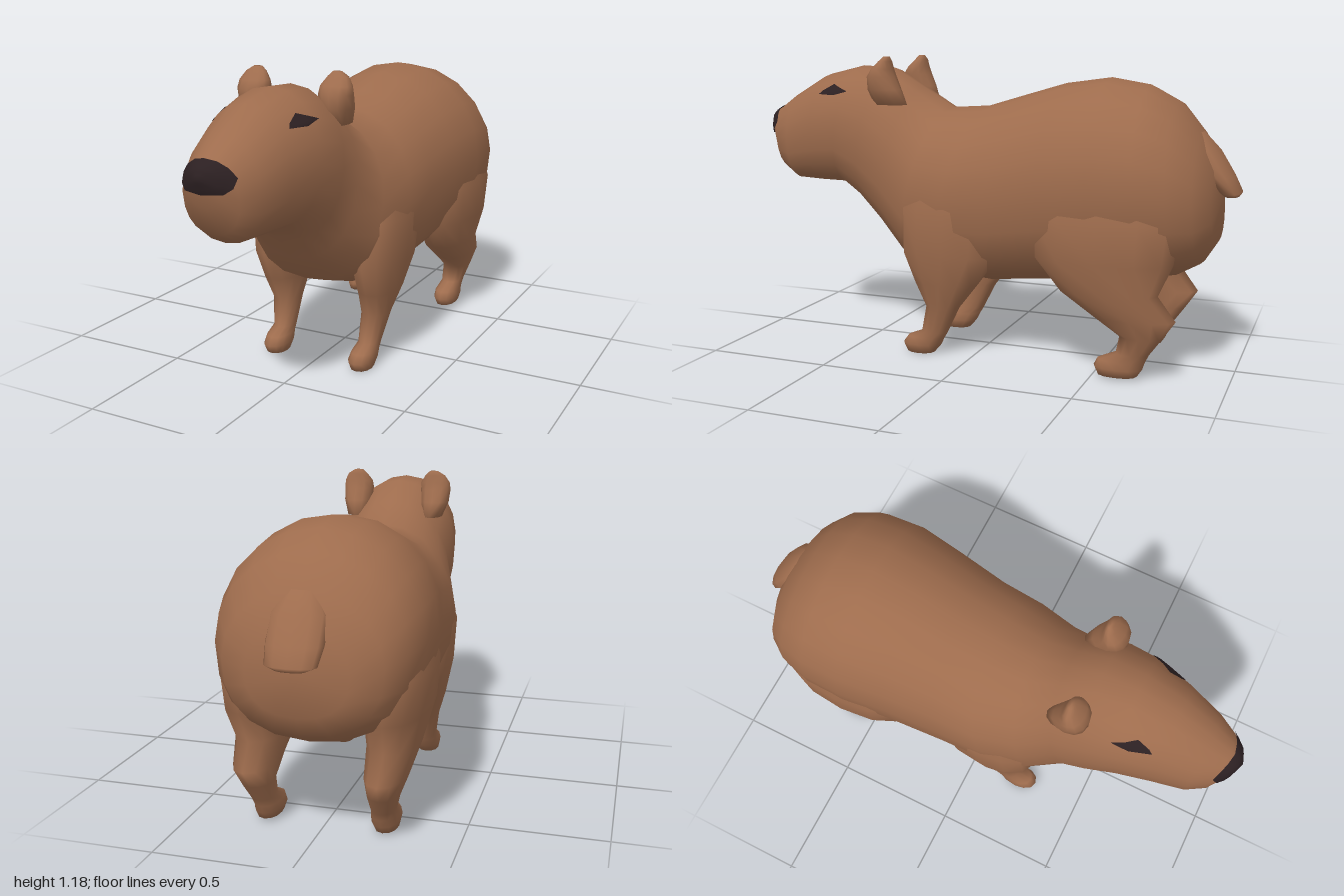
import * as THREE from 'three';

const fur = new THREE.MeshStandardMaterial({ color: 0x9e6c4d });
fur.name = 'brown fur';
const dark = new THREE.MeshStandardMaterial({ color: 0x2c2022, side: THREE.DoubleSide });
dark.name = 'dark skin';

function buildMesh(name, points, index, material) {
  const geometry = new THREE.BufferGeometry().setFromPoints(points);
  geometry.setIndex(index);
  geometry.computeVertexNormals();
  const mesh = new THREE.Mesh(geometry, material);
  mesh.name = name;
  return mesh;
}

// Skin a list of equal rings, closing both ends with a centre point
function loft(name, rings, startCap, endCap) {
  const n = rings[0].length;
  const points = [...rings.flat(), startCap, endCap];
  const last = (rings.length - 1) * n;
  const tris = [];
  for (let j = 0; j < n; j++) {
    const k = (j + 1) % n;
    for (let i = 0; i < last; i += n) {
      tris.push([i + j, i + n + j, i + k], [i + k, i + n + j, i + n + k]);
    }
    tris.push([last + n, j, k], [last + n + 1, last + k, last + j]);
  }
  // Turn the faces outwards when the enclosed volume is negative
  let volume = 0;
  const cross = new THREE.Vector3();
  for (const [a, b, c] of tris) volume += points[a].dot(cross.crossVectors(points[b], points[c]));
  if (volume < 0) tris.forEach((t) => t.reverse());
  return buildMesh(name, points, tris.flat(), fur);
}

// Ring coordinates from -1 to 1; a higher power makes that half squarer
function ringShape(n, upperPower, lowerPower) {
  const bend = (v, power) => Math.sign(v) * Math.pow(Math.abs(v), 2 / power);
  return Array.from({ length: n }, (_, j) => {
    const a = (j / n) * Math.PI * 2;
    const power = Math.cos(a) > 0 ? upperPower : lowerPower;
    return [bend(Math.sin(a), power), bend(Math.cos(a), power)];
  });
}

// Head and trunk: each ring is top z, top y, bottom z, bottom y, half width
function makeBody() {
  const sections = [
    [0.98, 0.942, 0.965, 0.80, 0.06],
    [0.94, 0.965, 0.92, 0.70, 0.11],
    [0.86, 1.02, 0.855, 0.655, 0.15],
    [0.72, 1.10, 0.73, 0.65, 0.185],
    [0.56, 1.138, 0.62, 0.65, 0.22],
    [0.42, 1.13, 0.52, 0.58, 0.242],
    [0.29, 1.055, 0.43, 0.48, 0.24],
    [0.16, 0.975, 0.32, 0.365, 0.285],
    [0, 0.985, 0.17, 0.31, 0.325],
    [-0.15, 1.03, -0.05, 0.29, 0.332],
    [-0.32, 1.08, -0.3, 0.315, 0.355],
    [-0.5, 1.105, -0.5, 0.33, 0.38],
    [-0.65, 1.08, -0.67, 0.35, 0.374],
    [-0.76, 1.02, -0.79, 0.375, 0.34],
    [-0.85, 0.91, -0.87, 0.42, 0.28],
    [-0.905, 0.80, -0.92, 0.5, 0.18],
  ];
  const shape = ringShape(20, 2.0, 2.35);
  const rings = sections.map(([zt, yt, zb, yb, w]) => shape.map(([u, v]) => {
    const t = (v + 1) / 2;
    return new THREE.Vector3(u * w, yb + (yt - yb) * t, zb + (zt - zb) * t);
  }));
  return loft('body', rings, new THREE.Vector3(0, 0.9, 0.997), new THREE.Vector3(0, 0.66, -0.93));
}

// Limbs, ears and tail: each ring is height, front z, back z, inner x, outer x
function makeLimb(name, sections, side) {
  const shape = ringShape(12, 2.2, 2.2);
  const rings = sections.map(([y, zf, zb, xi, xo]) => shape.map(([u, v]) => new THREE.Vector3(
    side * ((xi + xo) / 2 + (u * (xo - xi)) / 2), y, (zf + zb) / 2 + (v * (zf - zb)) / 2)));
  const centre = ([y, zf, zb, xi, xo]) => new THREE.Vector3((side * (xi + xo)) / 2, y, (zf + zb) / 2);
  return loft(name, rings, centre(sections[0]), centre(sections[sections.length - 1]));
}

const frontLeg = [
  [0, 0.28, 0.165, 0.15, 0.234],
  [0.035, 0.298, 0.135, 0.142, 0.242],
  [0.065, 0.275, 0.12, 0.147, 0.24],
  [0.09, 0.215, 0.105, 0.153, 0.237],
  [0.2, 0.19, 0.05, 0.148, 0.257],
  [0.3, 0.235, -0.03, 0.136, 0.287],
  [0.42, 0.285, -0.12, 0.12, 0.312],
  [0.6, 0.28, -0.14, 0.13, 0.325],
  [0.8, 0.18, -0.06, 0.14, 0.26],
];
const hindLeg = [
  [0.01, -0.52, -0.67, 0.18, 0.265],
  [0.04, -0.505, -0.69, 0.17, 0.272],
  [0.07, -0.52, -0.7, 0.172, 0.27],
  [0.1, -0.59, -0.715, 0.18, 0.27],
  [0.17, -0.605, -0.765, 0.175, 0.29],
  [0.24, -0.5, -0.812, 0.165, 0.315],
  [0.33, -0.37, -0.745, 0.15, 0.338],
  [0.45, -0.27, -0.8, 0.14, 0.368],
  [0.6, -0.26, -0.82, 0.14, 0.378],
  [0.8, -0.36, -0.74, 0.16, 0.325],
];
const ear = [
  [0.99, 0.43, 0.29, 0.12, 0.205],
  [1.05, 0.45, 0.315, 0.11, 0.228],
  [1.1, 0.45, 0.338, 0.105, 0.233],
  [1.13, 0.43, 0.35, 0.108, 0.23],
  [1.16, 0.4, 0.355, 0.128, 0.212],
  [1.178, 0.385, 0.362, 0.148, 0.182],
];
const tail = [
  [0.675, -0.935, -0.99, -0.055, 0.055],
  [0.69, -0.92, -1.0, -0.09, 0.09],
  [0.75, -0.86, -0.972, -0.1, 0.1],
  [0.84, -0.79, -0.918, -0.1, 0.1],
  [0.91, -0.75, -0.855, -0.06, 0.06],
];

// Thin plate that hugs the body: an outline dropped onto it along an axis
function makePlate(name, body, outline, place, direction) {
  const ray = new THREE.Raycaster();
  const cu = outline.reduce((s, p) => s + p[0], 0) / outline.length;
  const cv = outline.reduce((s, p) => s + p[1], 0) / outline.length;
  const drop = (u, v) => {
    ray.set(place(u, v), direction);
    const hit = ray.intersectObject(body)[0];
    return hit ? hit.point.addScaledVector(hit.face.normal, 0.006) : null;
  };
  const steps = 5, n = outline.length, index = [];
  const points = [drop(cu, cv)];
  for (let s = 1; s <= steps; s++) {
    for (let j = 0; j < n; j++) {
      const [u, v] = outline[j];
      const t = s / steps;
      points.push(drop(cu + (u - cu) * t, cv + (v - cv) * t) || points[points.length - n].clone());
      const k = (j + 1) % n, a = 1 + (s - 1) * n, b = a - n;
      if (s === 1) index.push(0, 1 + j, 1 + k);
      else index.push(b + j, a + j, a + k, b + j, a + k, b + k);
    }
  }
  return buildMesh(name, points, index, dark);
}

export function createModel() {
  const model = new THREE.Group();
  model.name = 'animal';
  const body = makeBody();
  model.add(body, makeLimb('tail', tail, 1));

  const noseOutline = [[0, 0.957], [0.04, 0.95], [0.075, 0.93], [0.1, 0.9], [0.095, 0.87], [0.07, 0.852],
    [0, 0.85], [-0.07, 0.852], [-0.095, 0.87], [-0.1, 0.9], [-0.075, 0.93], [-0.04, 0.95]];
  model.add(makePlate('nose', body, noseOutline,
    (x, y) => new THREE.Vector3(x, y, 2), new THREE.Vector3(0, 0, -1)));

  const eyeOutline = [[0.69, 1.02], [0.675, 1.035], [0.625, 1.062], [0.59, 1.05], [0.545, 1.035], [0.61, 1.02]];
  for (const side of [1, -1]) {
    const label = side > 0 ? 'left' : 'right';
    model.add(
      makeLimb(label + 'FrontLeg', frontLeg, side),
      makeLimb(label + 'HindLeg', hindLeg, side),
      makeLimb(label + 'Ear', ear, side),
      makePlate(label + 'Eye', body, eyeOutline,
        (z, y) => new THREE.Vector3(side * 2, y, z), new THREE.Vector3(-side, 0, 0)),
    );
  }
  return model;
}
